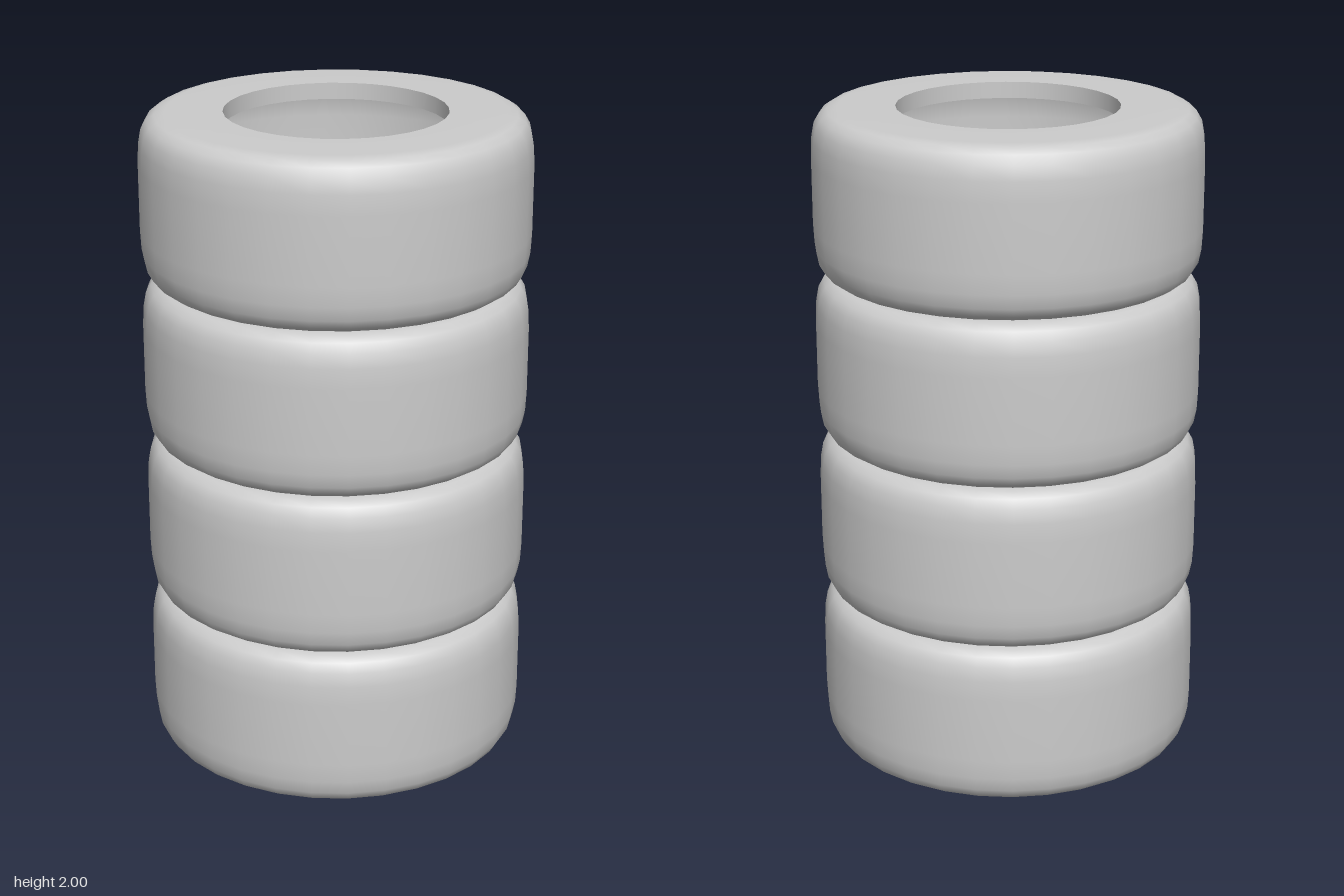
import * as THREE from 'three';

const TYRE_HEIGHT = 0.5;
const SEGMENTS = 32;
const material = new THREE.MeshStandardMaterial({ color: 0xcccccc });

// Revolve a list of [radius, height] points around the y axis
function ring(name, points) {
  const profile = points.map(([r, y]) => new THREE.Vector2(r, y));
  const mesh = new THREE.Mesh(new THREE.LatheGeometry(profile, SEGMENTS), material);
  mesh.name = name;
  return mesh;
}

// One hollow tyre: narrow hole on top, wide opening underneath
function createTyre() {
  const tyre = new THREE.Group();

  // Rounded shoulder, from the tread up to the flat sidewall
  const shoulder = [
    [0.58, 0.35], [0.577, 0.41], [0.569, 0.452], [0.553, 0.479], [0.53, 0.494], [0.5, 0.5],
  ];
  const lower = shoulder.map(([r, y]) => [r, TYRE_HEIGHT - y]).reverse();
  tyre.add(ring('tread', [...lower, ...shoulder, [0.33, 0.5]]));

  // Edge of the top hole
  tyre.add(ring('topRim', [[0.33, 0.5], [0.33, 0.45]]));

  // Inner wall, following the outside at the wall thickness
  tyre.add(ring('innerWall', [
    [0.33, 0.45], [0.475, 0.45], [0.508, 0.44], [0.525, 0.41], [0.53, 0.35],
    [0.53, 0.15], [0.525, 0.09], [0.515, 0.06], [0.5, 0.035],
  ]));

  // Edge of the bottom opening
  tyre.add(ring('bottomRim', [[0.5, 0.035], [0.5, 0]]));
  return tyre;
}

export function createModel() {
  const stack = new THREE.Group();
  stack.name = 'tyreStack';
  for (let i = 0; i < 4; i++) {
    const tyre = createTyre();
    tyre.name = `tyre${i + 1}`;
    tyre.position.y = i * TYRE_HEIGHT;
    stack.add(tyre);
  }
  return stack;
}
